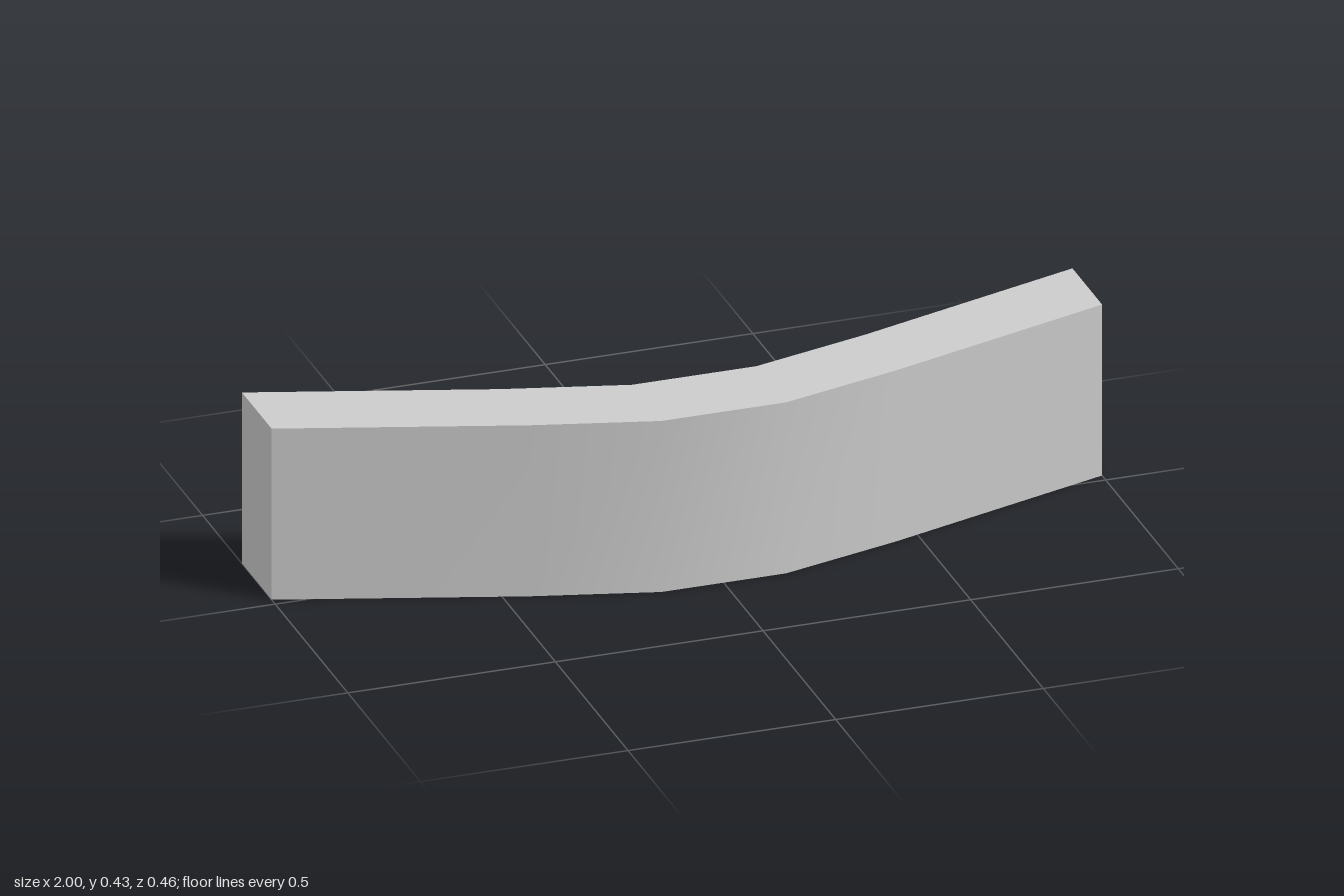
import * as THREE from 'three';
import { toCreasedNormals } from 'three/addons/utils/BufferGeometryUtils.js';

const HEIGHT = 0.43;
const DEPTH = 0.204;
// Centre line of the bar in plan: x, z from one end to the other
const half = [[0.15, 0.127], [0.44, 0.05], [1, -0.127]];
const path = [...half.map(([x, z]) => [-x, z]).reverse(), ...half];

export function createModel() {
  const group = new THREE.Group();
  group.name = 'bentBar';

  // Straight box with one segment per bend, moved onto the centre line
  const segments = path.length - 1;
  const box = new THREE.BoxGeometry(segments, HEIGHT, DEPTH, segments, 1, 1);
  box.translate(segments / 2, HEIGHT / 2, 0);
  const pos = box.attributes.position;
  for (let i = 0; i < pos.count; i++) {
    const [x, z] = path[Math.round(pos.getX(i))];
    pos.setX(i, x);
    pos.setZ(i, pos.getZ(i) + z);
  }

  // Smooth along the bends, sharp at the outer edges
  const bar = new THREE.Mesh(
    toCreasedNormals(box, 0.6),
    new THREE.MeshStandardMaterial({ color: 0xcccccc })
  );
  bar.name = 'curvedBar';
  group.add(bar);
  return group;
}
